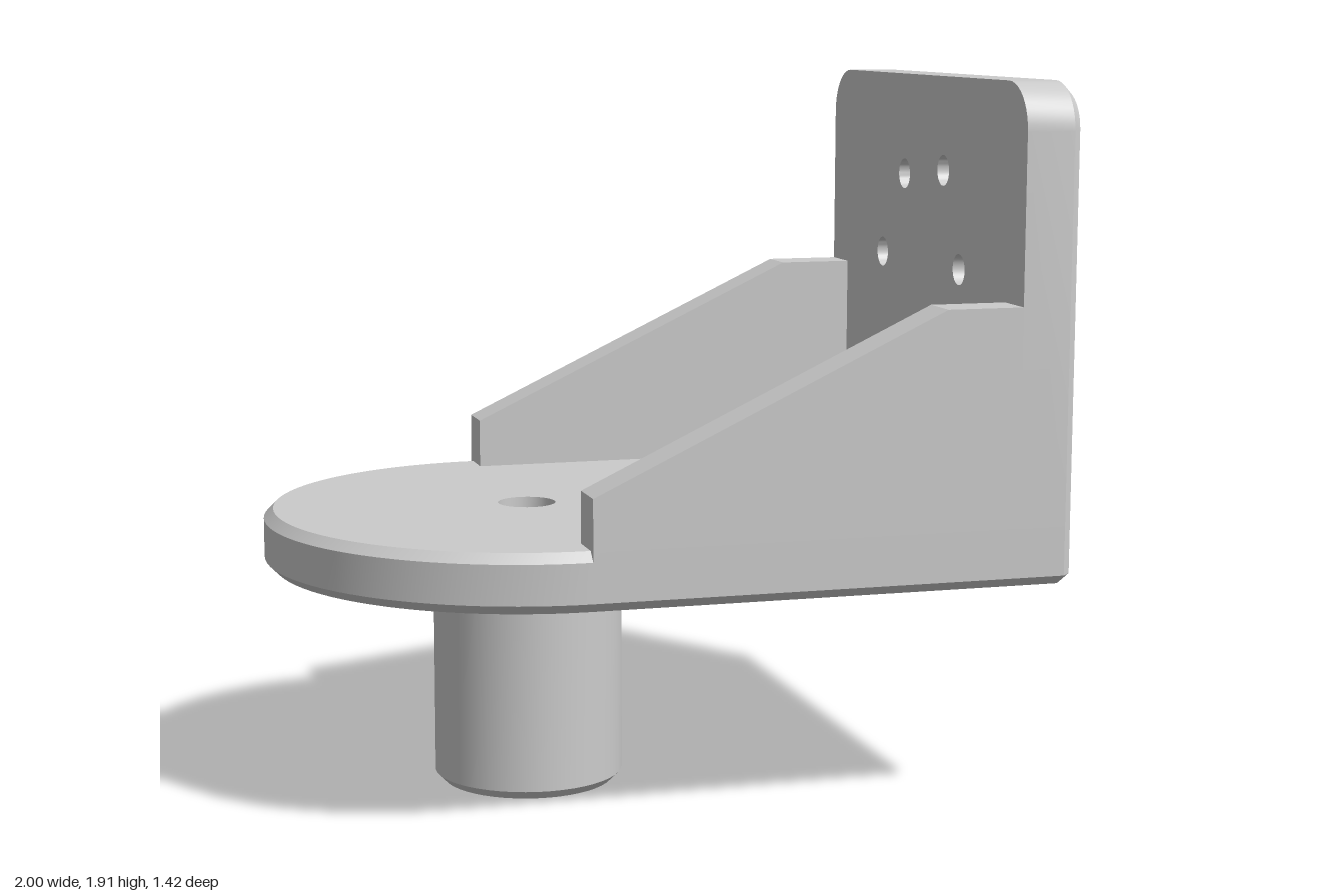
import * as THREE from 'three';
import { mergeGeometries, toCreasedNormals } from 'three/addons/utils/BufferGeometryUtils.js';

const V = (x, y) => new THREE.Vector2(x, y);
const material = new THREE.MeshStandardMaterial({ color: 0xcccccc, side: THREE.DoubleSide });

function arc(cx, cy, r, from, to, n) {
  const pts = [];
  for (let i = 0; i <= n; i++) {
    const a = from + ((to - from) * i) / n;
    pts.push(V(cx + r * Math.cos(a), cy + r * Math.sin(a)));
  }
  return pts;
}
const circle = (cx, cy, r, n = 32) => arc(cx, cy, r, 0, 2 * Math.PI * (1 - 1 / n), n - 1);

// Side walls through outlines stacked along z: levels are [z, points]
function walls(levels) {
  const pos = [];
  for (let k = 0; k + 1 < levels.length; k++) {
    const [z0, lo] = levels[k], [z1, hi] = levels[k + 1];
    lo.forEach((a, i) => {
      const j = (i + 1) % lo.length, b = lo[j], c = hi[j], d = hi[i];
      pos.push(a.x, a.y, z0, b.x, b.y, z0, c.x, c.y, z1, a.x, a.y, z0, c.x, c.y, z1, d.x, d.y, z1);
    });
  }
  return new THREE.BufferGeometry().setAttribute('position', new THREE.Float32BufferAttribute(pos, 3));
}

// Flat face with holes
function cap(points, holes, z, up) {
  const shape = new THREE.Shape(points);
  shape.holes = holes.map((h) => new THREE.Path(h));
  const g = new THREE.ShapeGeometry(shape);
  if (!up) g.index.array.reverse();
  const flat = g.toNonIndexed().translate(0, 0, z);
  flat.deleteAttribute('normal');
  flat.deleteAttribute('uv');
  return flat;
}

// Solid from stacked outlines, with openings in its end faces and extra inner surfaces
function solid(levels, lowHoles, highHoles, inner = []) {
  const [z0, p0] = levels[0], [z1, p1] = levels[levels.length - 1];
  return toCreasedNormals(mergeGeometries([
    walls(levels), cap(p0, lowHoles, z0, false), cap(p1, highHoles, z1, true), ...inner,
  ]), 0.5);
}

// Inside of an opening
const tunnel = (points, z0, z1) => {
  const rev = [...points].reverse();
  return walls([[z0, rev], [z1, rev]]);
};
// Annular step inside a hole
const step = (cx, cy, small, big, z, up) => cap(circle(cx, cy, big), [circle(cx, cy, small)], z, up);

export function createModel() {
  const model = new THREE.Group();
  const add = (name, geometry, x = 0, y = 0, z = 0) => {
    const mesh = new THREE.Mesh(geometry, material);
    mesh.name = name;
    mesh.position.set(x, y, z);
    model.add(mesh);
    return mesh;
  };
  const C = 0.025; // chamfer
  const cx = -0.29; // shaft axis

  // Base plate: half-round front end, chamfered rim, cable slot
  const baseOutline = (dArc, d) => [
    V(1 - d, -0.685 + 0.4 * d), V(1 - d, 0.685 - 0.4 * d),
    V(0.975 - 0.4 * d, 0.71 - d), V(-0.27, 0.71 - d),
    ...arc(cx, 0, 0.71 - dArc, Math.PI / 2, Math.PI * 1.5, 48),
    V(-0.27, -0.71 + d), V(0.975 - 0.4 * d, -0.71 + d),
  ];
  const slot = [V(0.71, 0.085), V(0.805, 0.085), V(0.805, 0.57), V(0.71, 0.57)];
  const topHole = circle(cx, 0, 0.078);
  add('basePlate', solid(
    [[0.61, baseOutline(C, C)], [0.61 + C, baseOutline(0, 0)],
      [0.765 - C, baseOutline(0, 0)], [0.765, baseOutline(C, 0)]],
    [slot, topHole], [slot, topHole],
    [tunnel(slot, 0.61, 0.765), tunnel(topHole, 0.6, 0.765)],
  ).rotateX(-Math.PI / 2));

  // Upright mounting wall with counterbored bolt holes and two plain holes
  const wallOutline = (d) => [
    V(-0.71 + d, 0.765), V(0.71 - d, 0.765),
    ...arc(0.585, 1.785, 0.125 - d, 0, Math.PI / 2, 10),
    ...arc(-0.585, 1.785, 0.125 - d, Math.PI / 2, Math.PI, 10),
  ];
  const bolts = [[-0.153, 1.655], [0.134, 1.63], [-0.275, 1.395],
    [0.297, 1.395], [-0.153, 1.135], [0.134, 1.16]];
  const plain = [[0.2, 0.835], [0.45, 0.835]].map(([x, y]) => circle(x, y, 0.037));
  const bores = bolts.map(([x, y]) => circle(x, y, 0.042));
  const counterbores = bolts.map(([x, y]) => circle(x, y, 0.08));
  const seat = 0.945;
  add('mountingWall', solid(
    [[0.845, wallOutline(0)], [1 - C, wallOutline(0)], [1, wallOutline(C)]],
    [...bores, ...plain], [...counterbores, ...plain],
    [
      ...bores.map((b) => tunnel(b, 0.845, seat)),
      ...counterbores.map((b) => tunnel(b, seat, 1)),
      ...bolts.map(([x, y]) => step(x, y, 0.042, 0.08, seat, true)),
      ...plain.map((b) => tunnel(b, 0.845, 1)),
    ],
  ).rotateY(Math.PI / 2));

  // Sloping side ribs
  const ribShape = new THREE.Shape([V(cx, 0.74), V(0.845, 0.74), V(0.845, 1.34), V(0.64, 1.34), V(cx, 0.9)]);
  const ribGeometry = new THREE.ExtrudeGeometry(ribShape, { depth: 0.12, bevelEnabled: false });
  add('leftRib', ribGeometry, 0, 0, 0.59);
  add('rightRib', ribGeometry, 0, 0, -0.71);

  // Round shoulder under the plate
  const shoulder = circle(cx, 0, 0.455, 64);
  add('shoulder', solid([[0.56, shoulder], [0.61, shoulder]],
    [circle(cx, 0, 0.2)], [circle(cx, 0, 0.2)]).rotateX(-Math.PI / 2));

  // Hollow shaft with a keyed bore at its foot
  const shaft = (d) => circle(cx, 0, 0.257 - d, 48);
  const keyed = [...arc(cx, 0, 0.105, 0.39, 2 * Math.PI - 0.39, 36),
    V(cx + 0.14, -0.04), V(cx + 0.14, 0.04)];
  const bore = circle(cx, 0, 0.042);
  add('shaft', solid(
    [[0, shaft(C)], [C, shaft(0)], [0.6, shaft(0)]], [keyed], [bore],
    [tunnel(keyed, 0, 0.3), cap(keyed, [bore], 0.3, false), tunnel(bore, 0.3, 0.6)],
  ).rotateX(-Math.PI / 2));

  // Small locating peg under the plate
  add('locatingPeg', new THREE.CylinderGeometry(0.03, 0.03, 0.15, 24).rotateZ(Math.PI / 2), 0.605, 0.61, -0.07);

  return model;
}
